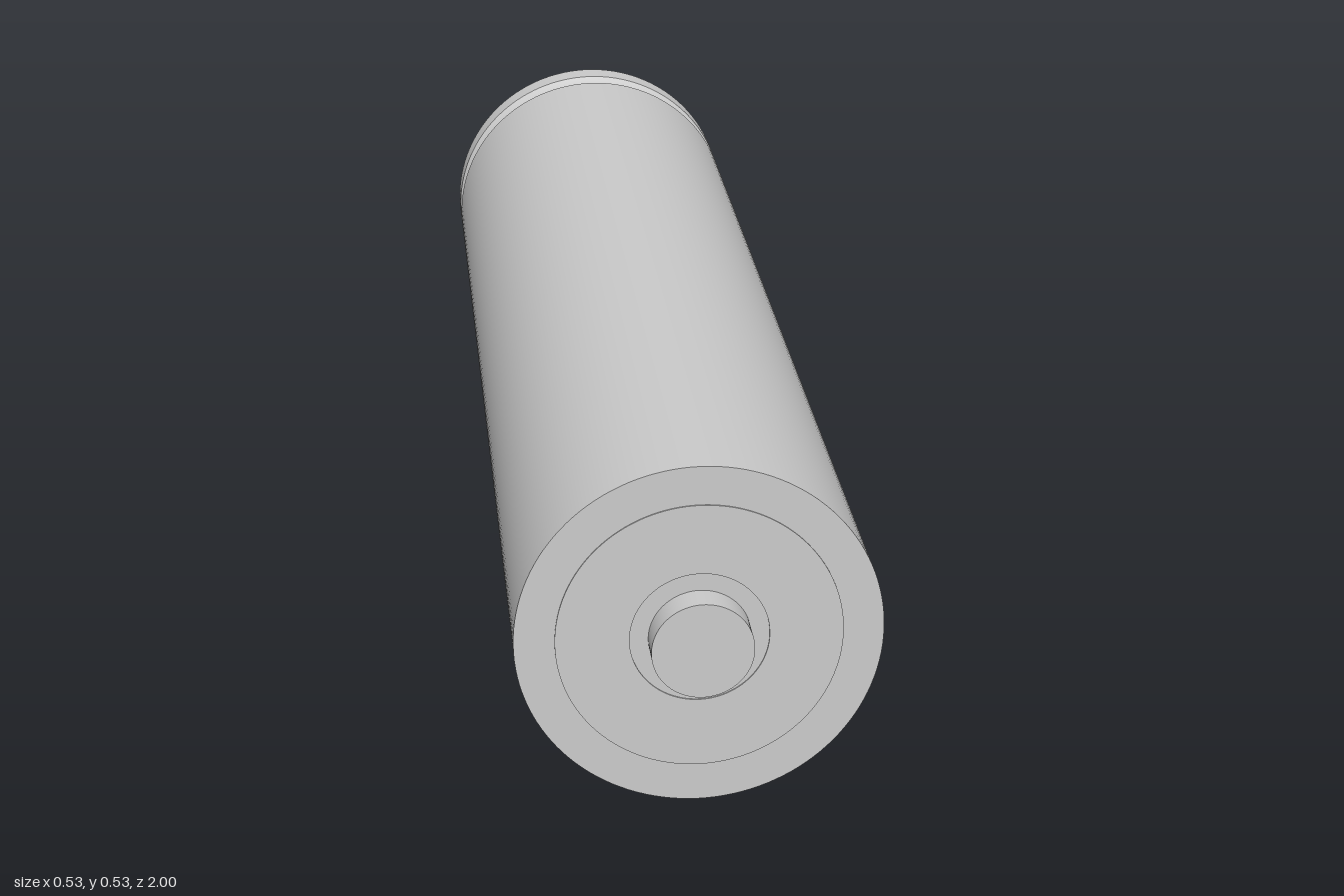
import * as THREE from 'three';
import { mergeGeometries } from 'three/addons/utils/BufferGeometryUtils.js';

const SEGMENTS = 128;
const R = 0.267; // casing radius
const material = new THREE.MeshStandardMaterial({ color: 0xcccccc });

// Turned part along z: each section is a smooth run of [radius, z]; edges between sections stay sharp.
function turned(name, sections) {
  const lathes = sections.map((section) =>
    new THREE.LatheGeometry(section.map(([r, z]) => new THREE.Vector2(r, z)), SEGMENTS));
  const mesh = new THREE.Mesh(mergeGeometries(lathes).rotateX(Math.PI / 2), material);
  mesh.name = name;
  mesh.position.y = R;
  return mesh;
}

// Straight sections between consecutive corners
const straight = (corners) => corners.slice(1).map((p, i) => [corners[i], p]);

export function createModel() {
  const group = new THREE.Group();
  group.name = 'batteryCell';

  // Rounded groove crimped into the casing near the rear
  const grooveStart = -0.95, grooveEnd = -0.905, grooveDepth = 0.011;
  const groove = [];
  for (let i = 0; i <= 12; i++) {
    const t = i / 12;
    groove.push([
      R - grooveDepth * Math.sin(Math.PI * t),
      THREE.MathUtils.lerp(grooveStart, grooveEnd, t),
    ]);
  }

  // Casing: rear disc, rim, groove, long wall and front face
  group.add(turned('casing', [
    ...straight([[0, -1], [R, -1], [R, grooveStart]]),
    groove,
    ...straight([[R, grooveEnd], [R, 0.955], [0, 0.955]]),
  ]));

  // Thin insulating washer on the front face
  group.add(turned('insulatorRing', straight([
    [0.208, 0.955], [0.208, 0.957], [0.101, 0.957], [0.101, 0.955],
  ])));

  // Positive contact button
  group.add(turned('positiveTerminal', straight([[0.074, 0.955], [0.074, 1], [0, 1]])));

  return group;
}
